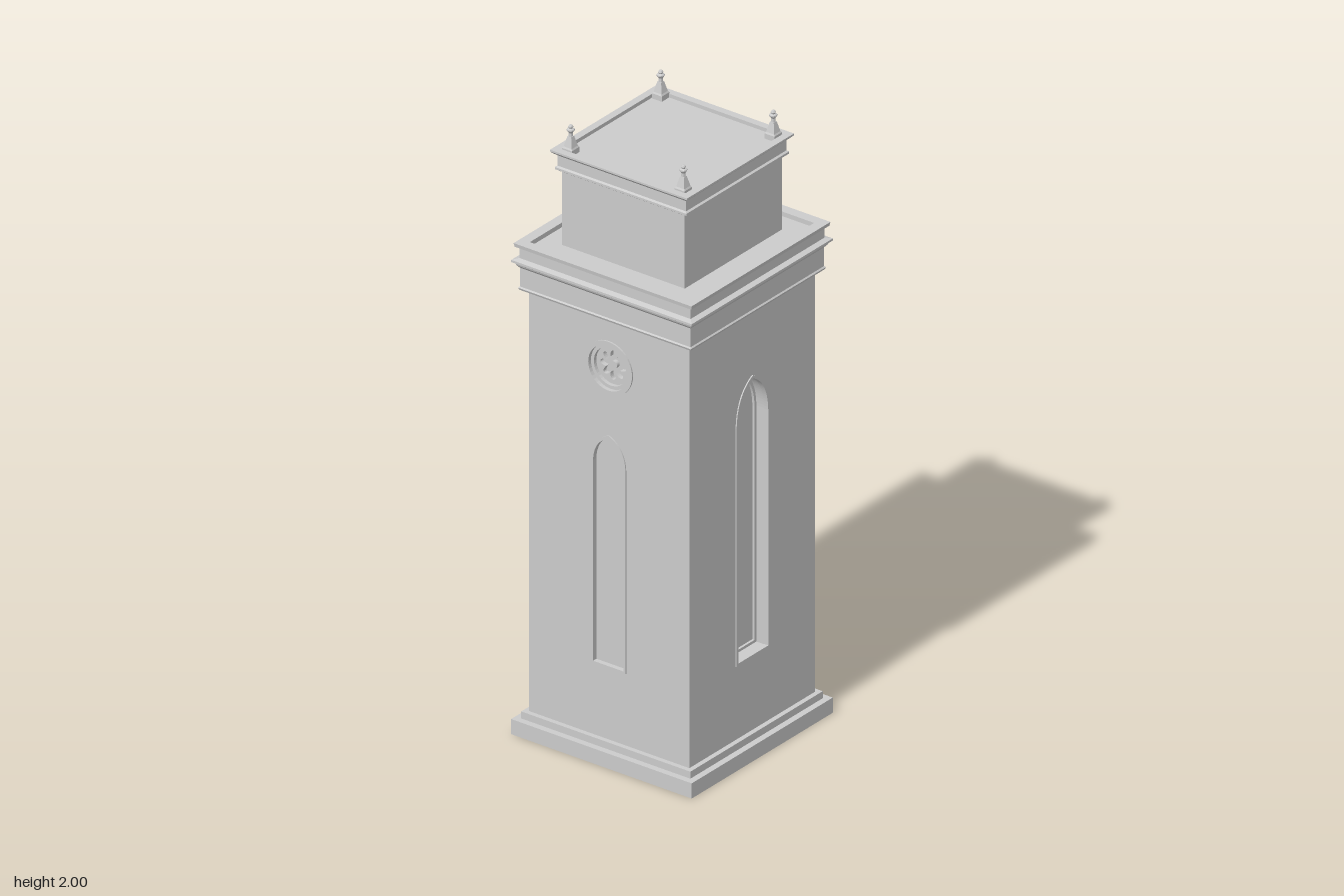
import * as THREE from 'three';

const HX = 0.295, HZ = 0.302;            // half width and half depth of the shaft
const BASE = 0.073, TOP = 1.468;         // shaft bottom and top
const FRONT_T = 0.035, SIDE_T = 0.05;    // wall thicknesses
const grey = new THREE.MeshStandardMaterial({ color: 0xcccccc });
const faceted = new THREE.MeshStandardMaterial({ color: 0xcccccc, flatShading: true });

function add(parent, name, geometry, material = grey) {
  const mesh = new THREE.Mesh(geometry, material);
  mesh.name = name;
  parent.add(mesh);
  return mesh;
}

// Rectangular stack: each profile point is [offset from the half sizes, y]
function stack(profile, hx, hz) {
  const pos = [];
  const corners = ([o, y]) => [[1, 1], [1, -1], [-1, -1], [-1, 1]].map(([sx, sz]) => [sx * (hx + o), y, sz * (hz + o)]);
  const quad = (a, b, c, d) => pos.push(...a, ...b, ...c, ...a, ...c, ...d);
  const rings = profile.map(corners);
  for (let i = 0; i < rings.length - 1; i++) {
    for (let k = 0; k < 4; k++) {
      const n = (k + 1) % 4;
      quad(rings[i][k], rings[i][n], rings[i + 1][n], rings[i + 1][k]);
    }
  }
  quad(...rings[0].slice().reverse());
  quad(...rings[rings.length - 1]);
  const g = new THREE.BufferGeometry();
  g.setAttribute('position', new THREE.Float32BufferAttribute(pos, 3));
  g.computeVertexNormals();
  return g;
}

// Slightly pointed arch outline
function arch(w, bottom, spring, top, Type = THREE.Shape) {
  const s = new Type();
  const c = spring + (top - spring) * 0.75;
  s.moveTo(-w, bottom);
  s.lineTo(w, bottom);
  s.lineTo(w, spring);
  s.quadraticCurveTo(w * 0.95, c, 0, top);
  s.quadraticCurveTo(-w * 0.95, c, -w, spring);
  s.lineTo(-w, bottom);
  return s;
}

function disc(r, y, Type = THREE.Shape) {
  const s = new Type();
  s.absarc(0, y, r, 0, Math.PI * 2, false);
  return s;
}

// Extrude a face-plane shape between two depths (0 is the wall surface)
function slab(shape, z0, z1, holes = []) {
  shape.holes.push(...holes);
  return new THREE.ExtrudeGeometry(shape, { depth: z1 - z0, bevelEnabled: false, curveSegments: 20 }).translate(0, 0, z0);
}

function wall(halfWidth, thickness, holes) {
  const s = new THREE.Shape();
  s.moveTo(-halfWidth, BASE);
  s.lineTo(halfWidth, BASE);
  s.lineTo(halfWidth, TOP);
  s.lineTo(-halfWidth, TOP);
  s.closePath();
  return slab(s, -thickness, 0, holes);
}

// Eight-lobed opening of the rose window
function foil(y) {
  const pts = [];
  for (let i = 0; i < 96; i++) {
    const a = (i / 96) * Math.PI * 2;
    const r = 0.028 + 0.02 * Math.abs(Math.cos(a * 4));
    pts.push(new THREE.Vector2(Math.cos(a) * r, y + Math.sin(a) * r));
  }
  return new THREE.Path(pts);
}

// Front and back: shallow lancet below a rose window
function frontFace() {
  const g = new THREE.Group(), y = 1.3, P = THREE.Path;
  add(g, 'wall', wall(HX, FRONT_T, [arch(0.058, 0.315, 0.98, 1.07, P), disc(0.075, y, P)]));
  add(g, 'lancetPanel', slab(arch(0.058, 0.315, 0.98, 1.07), -FRONT_T, -0.012));
  add(g, 'lancetFrame', slab(arch(0.063, 0.31, 0.98, 1.077), -0.012, 0.004, [arch(0.056, 0.317, 0.98, 1.067, P)]));
  add(g, 'roseOuterRing', slab(disc(0.088, y), -0.01, 0.005, [disc(0.073, y, P)]));
  add(g, 'roseInnerRing', slab(disc(0.075, y), -FRONT_T, -0.008, [disc(0.062, y, P)]));
  add(g, 'roseTracery', slab(disc(0.062, y), -FRONT_T, -0.02, [foil(y)]));
  add(g, 'roseBoss', slab(disc(0.012, y), -FRONT_T, -0.022));
  return g;
}

// Sides: one tall, deeply set lancet
function sideFace() {
  const g = new THREE.Group(), P = THREE.Path;
  add(g, 'wall', wall(HZ - FRONT_T, SIDE_T, [arch(0.075, 0.32, 1.1, 1.238, P)]));
  add(g, 'lancetFrame', slab(arch(0.08, 0.315, 1.1, 1.245), -0.012, 0.004, [arch(0.072, 0.323, 1.1, 1.234, P)]));
  add(g, 'lancetInnerFrame', slab(arch(0.075, 0.32, 1.1, 1.238), -SIDE_T, -0.042, [arch(0.066, 0.329, 1.1, 1.225, P)]));
  return g;
}

// Square tapered pedestal with a turned knob
function finial() {
  const g = new THREE.Group();
  add(g, 'finialPedestal', stack([[0, 1.9], [0, 1.925], [-0.003, 1.93], [-0.011, 1.963]], 0.018, 0.018));
  const profile = [[0.007, 1.96], [0.006, 1.974], [0.012, 1.982], [0.012, 1.986], [0.006, 1.989], [0.008, 1.994], [0.005, 1.999], [0, 2]];
  add(g, 'finialKnob', new THREE.LatheGeometry(profile.map(p => new THREE.Vector2(...p)), 8), faceted);
  return g;
}

export function createModel() {
  const tower = new THREE.Group();
  tower.name = 'tower';

  // Stepped plinth
  add(tower, 'plinth', stack([[0.037, 0], [0.037, 0.05], [0.016, 0.05], [0.016, BASE], [0, BASE]], HX, HZ));

  // Shaft: solid core wrapped by four pierced walls
  add(tower, 'shaftCore', new THREE.BoxGeometry(2 * (HX - SIDE_T), TOP - BASE, 2 * (HZ - FRONT_T)).translate(0, (TOP + BASE) / 2, 0));
  for (const s of [1, -1]) {
    const f = frontFace();
    f.name = s > 0 ? 'frontWall' : 'backWall';
    f.position.z = s * HZ;
    f.rotation.y = s > 0 ? 0 : Math.PI;
    const w = sideFace();
    w.name = s > 0 ? 'leftWall' : 'rightWall';
    w.position.x = s * HX;
    w.rotation.y = s * Math.PI / 2;
    tower.add(f, w);
  }

  // Main cornice with a sunken ledge behind its rim
  add(tower, 'mainCornice', stack([
    [0.02, 1.465], [0.023, 1.472], [0.019, 1.476], [0.019, 1.538], [0.026, 1.546], [0.028, 1.552],
    [0.037, 1.558], [0.037, 1.565], [0.02, 1.57], [0.02, 1.602], [0.03, 1.608], [0.032, 1.62],
    [-0.002, 1.62], [-0.002, 1.605],
  ], HX, HZ));

  // Upper stage and its cornice
  add(tower, 'upperStage', stack([[0, 1.59], [0, 1.88]], 0.226, 0.234));
  add(tower, 'upperCornice', stack([
    [0.006, 1.848], [0.016, 1.855], [0.016, 1.862], [0.01, 1.866], [0.01, 1.9], [0.02, 1.908], [0.026, 1.914],
    [0.026, 1.92], [0.002, 1.92], [0.002, 1.908],
  ], 0.226, 0.231));

  // Corner finials
  for (const x of [-0.207, 0.207]) for (const z of [-0.216, 0.216]) {
    const f = finial();
    f.name = 'finial';
    f.position.set(x, 0, z);
    tower.add(f);
  }
  return tower;
}
